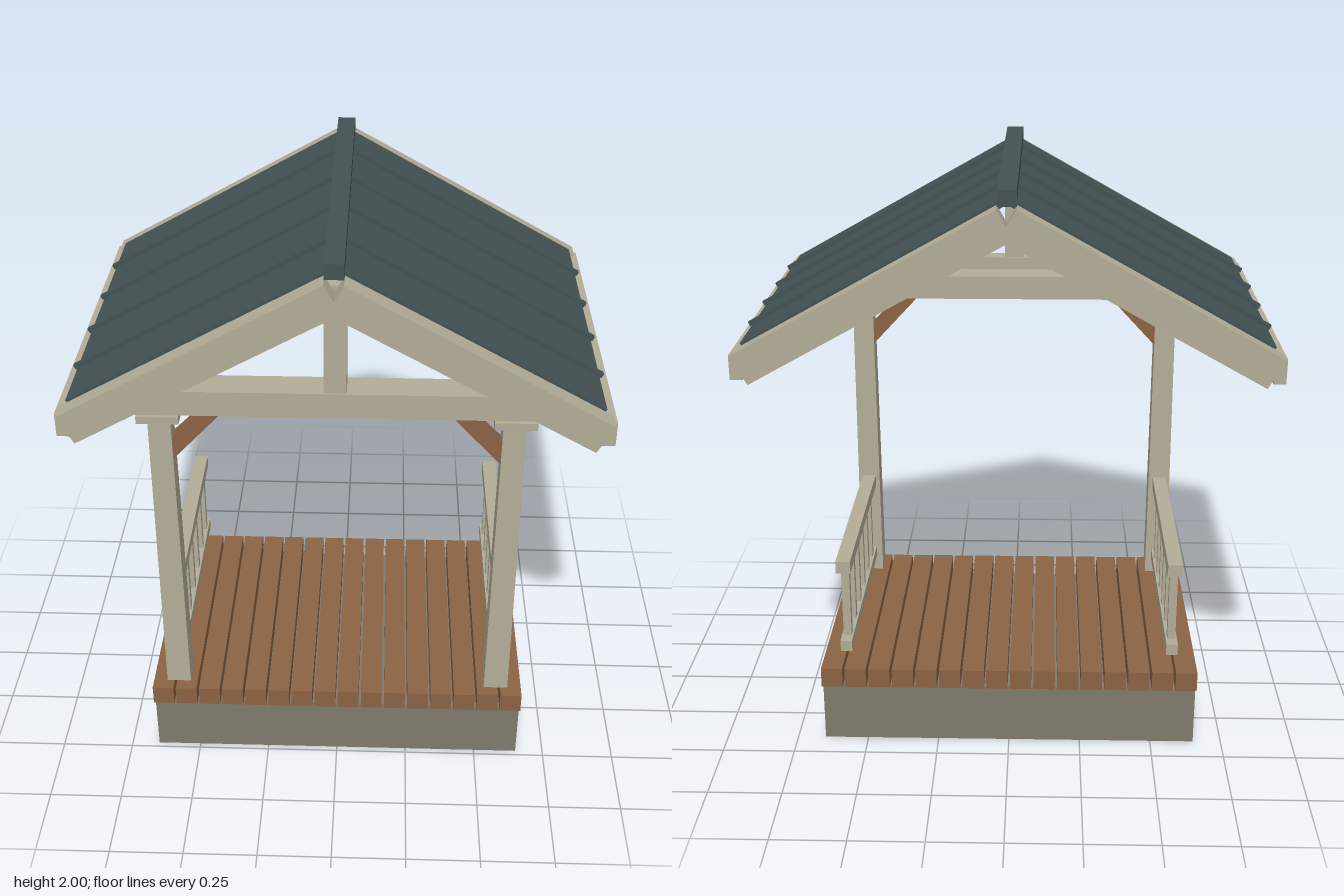
import * as THREE from 'three';

export function createModel() {
  const group = new THREE.Group();
  const mat = (name, color) => {
    const m = new THREE.MeshStandardMaterial({ color });
    m.name = name;
    return m;
  };
  const timber = mat('pale timber', 0xb3ac98);
  const wood = mat('brown wood', 0x8b6343);
  const stone = mat('stone', 0x7f7a6c);
  const metal = mat('roof metal', 0x435253);

  const add = (name, geo, material, parent = group) => {
    const mesh = new THREE.Mesh(geo, material);
    mesh.name = name;
    parent.add(mesh);
    return mesh;
  };
  // Box given by its minimum and maximum on each axis
  const box = (name, material, [x0, x1], [y0, y1], [z0, z1], parent) => {
    const geo = new THREE.BoxGeometry(x1 - x0, y1 - y0, z1 - z0);
    geo.translate((x0 + x1) / 2, (y0 + y1) / 2, (z0 + z1) / 2);
    return add(name, geo, material, parent);
  };
  const around = (c, w) => [c - w / 2, c + w / 2];

  // Foundation and deck boards
  box('foundation', stone, [-0.652, 0.652], [0, 0.215], [-0.405, 0.48]);
  const boards = 16, boardWidth = 0.074, pitch = (1.31 - boardWidth) / (boards - 1);
  for (let i = 0; i < boards; i++) {
    const x = -0.655 + i * pitch;
    box('deckBoard', wood, [x, x + boardWidth], [0.215, 0.285], [-0.422, 0.5]);
  }

  const postX = 0.565, postZ = 0.415;
  for (const side of [-1, 1]) {
    const x = side * postX;

    // Slightly tapered post with cap
    const post = new THREE.BoxGeometry(0.084, 1.095, 0.084);
    const p = post.attributes.position;
    for (let i = 0; i < p.count; i++) {
      if (p.getY(i) > 0) {
        p.setX(i, p.getX(i) * 0.88);
        p.setZ(i, p.getZ(i) * 0.88);
      }
    }
    post.translate(x, 0.8325, postZ);
    post.computeVertexNormals();
    add('post', post, timber);
    box('postCap', timber, around(x, 0.135), [1.38, 1.405], around(postZ + 0.005, 0.13));

    // Diagonal brace between post and header
    const outline = [[0.53, 1.22], [0.53, 1.30], [0.425, 1.405], [0.358, 1.405]]
      .map(([a, b]) => new THREE.Vector2(side * a, b));
    const brace = new THREE.ExtrudeGeometry(new THREE.Shape(outline), { depth: 0.05, bevelEnabled: false });
    brace.translate(0, 0, postZ - 0.025);
    add('brace', brace, wood);

    // Side railing
    const railing = new THREE.Group();
    railing.name = 'railing';
    group.add(railing);
    box('topRail', timber, around(x, 0.05), [0.645, 0.688], [-0.4, 0.38], railing);
    box('bottomRail', timber, around(x, 0.04), [0.345, 0.385], [-0.4, 0.38], railing);
    for (let i = 0; i < 6; i++) {
      box('baluster', timber, around(x, 0.028), [0.38, 0.65], around(0.292 - i * 0.127, 0.028), railing);
    }
  }

  // Header over the posts, tie beam and king post in front of it
  box('headerBeam', timber, [-0.655, 0.655], [1.405, 1.49], [0.36, 0.47]);
  box('tieBeam', timber, [-0.655, 0.655], [1.45, 1.535], [0.47, 0.545]);
  box('kingPost', timber, [-0.035, 0.035], [1.535, 1.9], [0.475, 0.54]);

  // Roof halves: local x runs down the slope, local y is outward from it
  const slope = 0.509, length = 0.933;
  for (const side of [1, -1]) {
    const half = new THREE.Group();
    half.name = side > 0 ? 'leftRoofHalf' : 'rightRoofHalf';
    const tilt = new THREE.Group();
    tilt.name = 'roofSlope';
    tilt.position.set(0.03, 1.95, 0);
    tilt.rotation.z = -slope;
    half.add(tilt);
    half.rotation.y = side > 0 ? 0 : Math.PI;
    group.add(half);

    box('roofPanel', metal, [-0.032, 0.905], [-0.015, 0.008], [-0.575, 0.575], tilt);
    for (let i = 0; i < 4; i++) {
      box('roofRib', metal, [-0.01, 0.912], [0.006, 0.022], around(-0.3675 + i * 0.245, 0.018), tilt);
    }
    for (const z of [-0.61, 0.61]) {
      box('bargeRafter', timber, [0, length], [-0.105, 0], around(z, 0.068), tilt);
    }
    box('eaveFascia', timber, [0.815, 0.855], [1.408, 1.488], [-0.61, 0.61], half);
  }

  // Ridge cap
  box('ridgeCap', metal, [-0.03, 0.03], [1.95, 2], [-0.608, 0.608]);

  return group;
}
